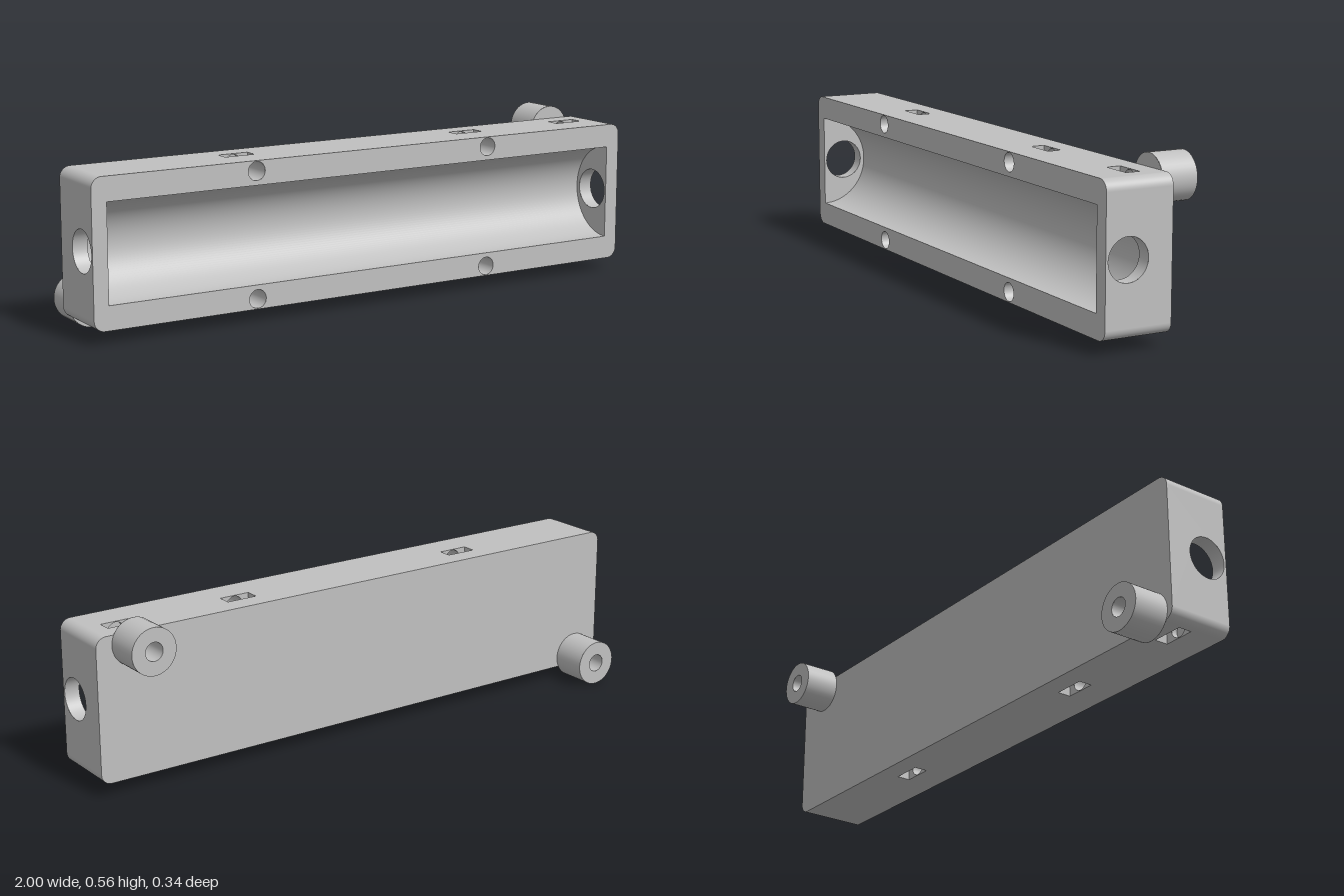
import * as THREE from 'three';

const FRONT = 0.173, BACK = -0.052, HALF_H = 0.236, CORNER = 0.035; // body limits
const CAV_R = 0.158, CAV_X = 0.95;                 // half-round cavity
const END_Z = 0.097, END_R = 0.068;                // cable holes in the ends
const SCREW_Y = 0.203, SCREW_R = 0.03, SCREW_X = 0.44;
const SLOT_W = 0.052, SLOT_H = 0.046, SLOT_FLOOR = 0.151; // nut slots
const BOSS_R = 0.076, BOSS_END = -0.172;

export function createModel() {
  const grey = new THREE.MeshStandardMaterial({ color: 0xc0c0c0, side: THREE.DoubleSide });
  grey.name = 'light grey plastic';

  const add = (parent, name, geo) => {
    const mesh = new THREE.Mesh(geo, grey);
    mesh.name = name;
    parent.add(mesh);
    return mesh;
  };
  const rect = (x0, y0, x1, y1) => new THREE.Shape([[x0, y0], [x1, y0], [x1, y1], [x0, y1]]
    .map(([x, y]) => new THREE.Vector2(x, y)));
  const circle = (x, y, r) => new THREE.Shape().absarc(x, y, r, 0, Math.PI * 2);
  const panel = (shape, holes = []) => {
    shape.holes.push(...holes);
    return new THREE.ShapeGeometry(shape, 32);
  };
  // Flat panels across z, y and x
  const panelZ = (z, shape, holes) => panel(shape, holes).translate(0, 0, z);
  const panelY = (y, shape, holes) => panel(shape, holes).rotateX(Math.PI / 2).translate(0, y, 0);
  const panelX = (x, shape, holes) => panel(shape, holes).rotateY(-Math.PI / 2).translate(x, 0, 0);
  // Open cylinder wall along z
  const tubeZ = (x, y, r, z0, z1, start = 0, sweep = Math.PI * 2) =>
    new THREE.CylinderGeometry(r, r, z1 - z0, 40, 1, true, start, sweep)
      .rotateX(Math.PI / 2).translate(x, y, (z0 + z1) / 2);

  const roundedRect = () => {
    const a = 1 - CORNER, b = HALF_H - CORNER, s = new THREE.Shape();
    s.absarc(a, b, CORNER, 0, Math.PI / 2);
    s.absarc(-a, b, CORNER, Math.PI / 2, Math.PI);
    s.absarc(-a, -b, CORNER, Math.PI, Math.PI * 1.5);
    s.absarc(a, -b, CORNER, Math.PI * 1.5, Math.PI * 2);
    return s;
  };

  // Nut pocket opening through the long side, crossed by a screw hole
  const nutSlot = (parent, x, z0) => {
    const slot = new THREE.Group();
    slot.name = 'nutSlot';
    parent.add(slot);
    const z1 = z0 + SLOT_H, x0 = x - SLOT_W, x1 = x + SLOT_W;
    for (const z of [z0, z1]) {
      add(slot, 'slotWall', panelZ(z, rect(x0, SLOT_FLOOR, x1, HALF_H), [circle(x, SCREW_Y, SCREW_R)]));
    }
    for (const sx of [x0, x1]) add(slot, 'slotEnd', panelX(sx, rect(z0, SLOT_FLOOR, z1, HALF_H)));
    add(slot, 'slotFloor', panelY(SLOT_FLOOR, rect(x0, z0, x1, z1)));
  };

  // One long side with its corners, one end wall, slots and mounting boss
  const makeHalf = (name, bossX) => {
    const half = new THREE.Group();
    half.name = name;
    const slots = [[-SCREW_X, 0.02], [SCREW_X, 0.02], [bossX, 0.013]];
    const a = 1 - CORNER, b = HALF_H - CORNER;

    add(half, 'longSide', panelY(HALF_H, rect(-a, BACK, a, FRONT),
      slots.map(([x, z]) => rect(x - SLOT_W, z, x + SLOT_W, z + SLOT_H))));
    add(half, 'roundedCorner', tubeZ(a, b, CORNER, BACK, FRONT, Math.PI / 2, Math.PI / 2));
    add(half, 'roundedCorner', tubeZ(-a, b, CORNER, BACK, FRONT, Math.PI, Math.PI / 2));
    slots.forEach(([x, z]) => nutSlot(half, x, z));

    // End wall, outside and inside, with its cable hole
    add(half, 'endWall', panelX(1, rect(BACK, -b, FRONT, b), [circle(END_Z, 0, END_R)]));
    const halfDisc = new THREE.Shape().absarc(FRONT, 0, CAV_R, Math.PI / 2, Math.PI * 1.5);
    add(half, 'cavityEnd', panelX(CAV_X, halfDisc, [circle(END_Z, 0, END_R)]));
    add(half, 'cableHole', new THREE.CylinderGeometry(END_R, END_R, 1 - CAV_X, 48, 1, true)
      .rotateZ(Math.PI / 2).translate((1 + CAV_X) / 2, 0, END_Z));

    // Front screw holes
    for (const x of [-SCREW_X, SCREW_X]) {
      add(half, 'screwHole', tubeZ(x, SCREW_Y, SCREW_R, 0.02 + SLOT_H, FRONT));
      add(half, 'screwHole', tubeZ(x, SCREW_Y, SCREW_R, 0, 0.02));
      add(half, 'screwHoleBottom', panelZ(0, circle(x, SCREW_Y, SCREW_R)));
    }

    // Mounting boss on the back
    const boss = new THREE.Group();
    boss.name = 'mountingBoss';
    half.add(boss);
    add(boss, 'bossWall', tubeZ(bossX, SCREW_Y, BOSS_R, BOSS_END, BACK));
    for (const z of [BOSS_END, BACK + 0.0005]) {
      add(boss, 'bossFace', panelZ(z, circle(bossX, SCREW_Y, BOSS_R), [circle(bossX, SCREW_Y, SCREW_R)]));
    }
    add(boss, 'bossHole', tubeZ(bossX, SCREW_Y, SCREW_R, BOSS_END, 0.013));
    add(boss, 'bossHole', tubeZ(bossX, SCREW_Y, SCREW_R, 0.013 + SLOT_H, 0.08));
    add(boss, 'bossHoleBottom', panelZ(0.08, circle(bossX, SCREW_Y, SCREW_R)));
    return half;
  };

  const model = new THREE.Group();
  model.name = 'housing';
  const body = new THREE.Group();
  body.name = 'body';
  body.position.y = 0.281;
  model.add(body);

  // Front rim, back plate and half-round cavity
  const frontHoles = [rect(-CAV_X, -CAV_R, CAV_X, CAV_R)];
  for (const x of [-SCREW_X, SCREW_X]) {
    for (const y of [-SCREW_Y, SCREW_Y]) frontHoles.push(circle(x, y, SCREW_R));
  }
  add(body, 'frontRim', panelZ(FRONT, roundedRect(), frontHoles));
  add(body, 'backPlate', panelZ(BACK, roundedRect(),
    [circle(0.87, SCREW_Y, SCREW_R), circle(-0.903, -SCREW_Y, SCREW_R)]));
  add(body, 'cavity', new THREE.CylinderGeometry(CAV_R, CAV_R, CAV_X * 2, 64, 1, true, Math.PI / 2, Math.PI)
    .rotateZ(Math.PI / 2).translate(0, 0, FRONT));

  // The lower half is the upper half turned about z
  body.add(makeHalf('upperHalf', 0.87));
  const lower = makeHalf('lowerHalf', 0.903);
  lower.rotation.z = Math.PI;
  body.add(lower);
  return model;
}
